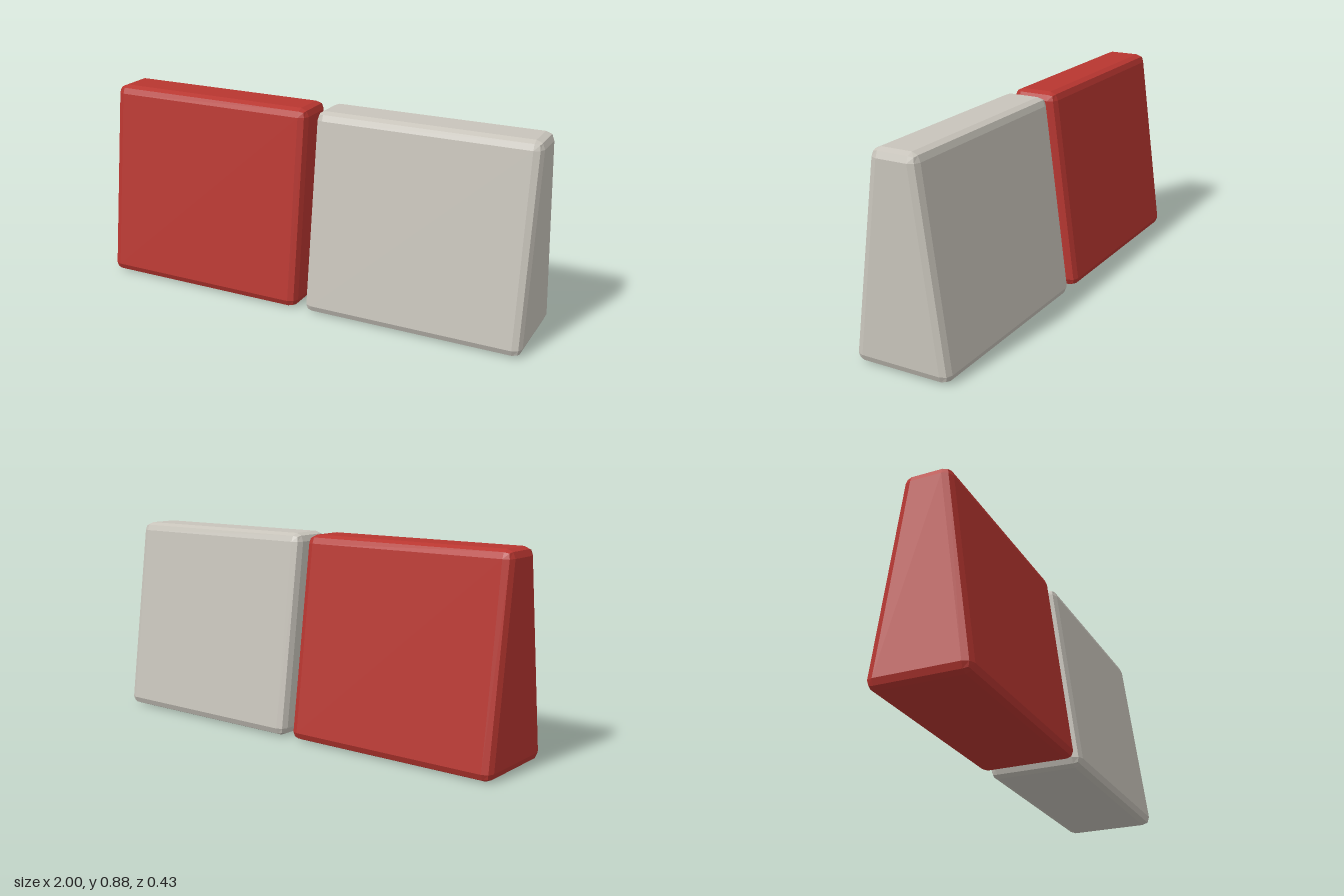
import * as THREE from 'three';
import { RoundedBoxGeometry } from 'three/addons/geometries/RoundedBoxGeometry.js';

const WIDTH = 0.978, HEIGHT = 0.882, BEVEL = 0.036;
const DEPTH = 0.317; // mean depth of the wedge
const TAPER = 0.0555; // how far the base spreads and the top narrows, per side

// Bevelled block whose front and back lean in towards the top
function taperedBlock() {
  const geometry = new RoundedBoxGeometry(WIDTH, HEIGHT, DEPTH, 1, BEVEL);
  const p = geometry.attributes.position;
  for (let i = 0; i < p.count; i++) {
    const z = p.getZ(i);
    p.setZ(i, z - Math.sign(z) * Math.sign(p.getY(i)) * TAPER);
  }
  geometry.translate(0, HEIGHT / 2, 0);
  geometry.computeVertexNormals();
  return geometry;
}

function material(name, color) {
  const m = new THREE.MeshStandardMaterial({ color, flatShading: true });
  m.name = name;
  return m;
}

export function createModel() {
  const group = new THREE.Group();
  group.name = 'barrierBlocks';
  const geometry = taperedBlock();

  // Two equal blocks side by side with a narrow gap
  const blocks = [
    ['redBlock', -1, material('red', 0xb83630)],
    ['greyBlock', 1, material('warm grey', 0xc8c4bb)],
  ];
  for (const [name, side, mat] of blocks) {
    const block = new THREE.Mesh(geometry, mat);
    block.name = name;
    block.position.x = side * (1 - WIDTH / 2);
    group.add(block);
  }
  return group;
}
